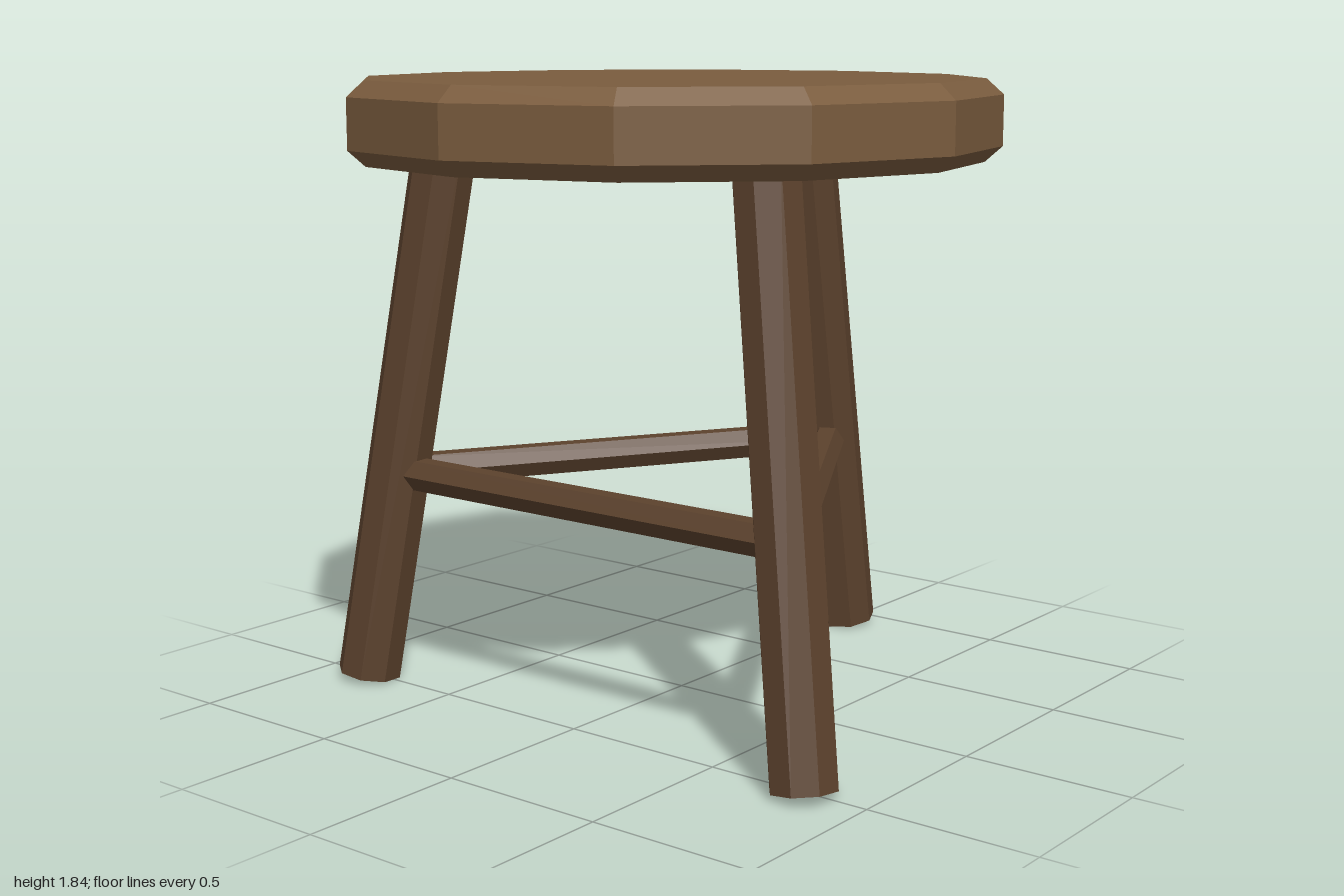
import * as THREE from 'three';

export function createModel() {
  const model = new THREE.Group();
  const seatWood = new THREE.MeshStandardMaterial({ color: 0x7a5c3e, flatShading: true });
  const legWood = new THREE.MeshStandardMaterial({ color: 0x5c422d, flatShading: true });

  const add = (parent, name, geometry, material) => {
    const mesh = new THREE.Mesh(geometry, material);
    mesh.name = name;
    parent.add(mesh);
    return mesh;
  };

  // Everything is arranged around the seat's axis
  const stool = new THREE.Group();
  stool.name = 'stool';
  stool.position.x = -0.05;
  model.add(stool);

  // Twelve-sided seat with chamfered rims
  const profile = [[0, 1.605], [0.9, 1.605], [0.95, 1.65], [0.95, 1.795], [0.9, 1.84], [0, 1.84]]
    .map(([r, y]) => new THREE.Vector2(r, y));
  add(stool, 'seat', new THREE.LatheGeometry(profile, 12), seatWood);

  const footRadius = 0.945, footY = 0.016, topY = 1.65, slope = 0.168;
  const rungY = 0.655;
  const rungRadius = footRadius - slope * (rungY - footY); // leg axis at rung height
  const legLength = (topY - footY) * Math.hypot(1, slope);

  for (let i = 0; i < 3; i++) {
    const side = new THREE.Group();
    side.name = 'legAndRung';
    side.rotation.y = i * Math.PI * 2 / 3;
    stool.add(side);

    // Splayed octagonal leg
    const leg = add(side, 'leg', new THREE.CylinderGeometry(0.097, 0.097, legLength, 8), legWood);
    leg.position.set(footRadius - slope * (topY - footY) / 2, (topY + footY) / 2, 0);
    leg.rotation.z = Math.atan(slope);

    // Hexagonal rung joining the other two legs
    const rung = add(side, 'rung',
      new THREE.CylinderGeometry(0.052, 0.052, rungRadius * Math.sqrt(3), 6, 1, false, Math.PI / 6), legWood);
    rung.position.set(-rungRadius / 2, rungY, 0);
    rung.rotation.x = Math.PI / 2;
  }
  return model;
}
